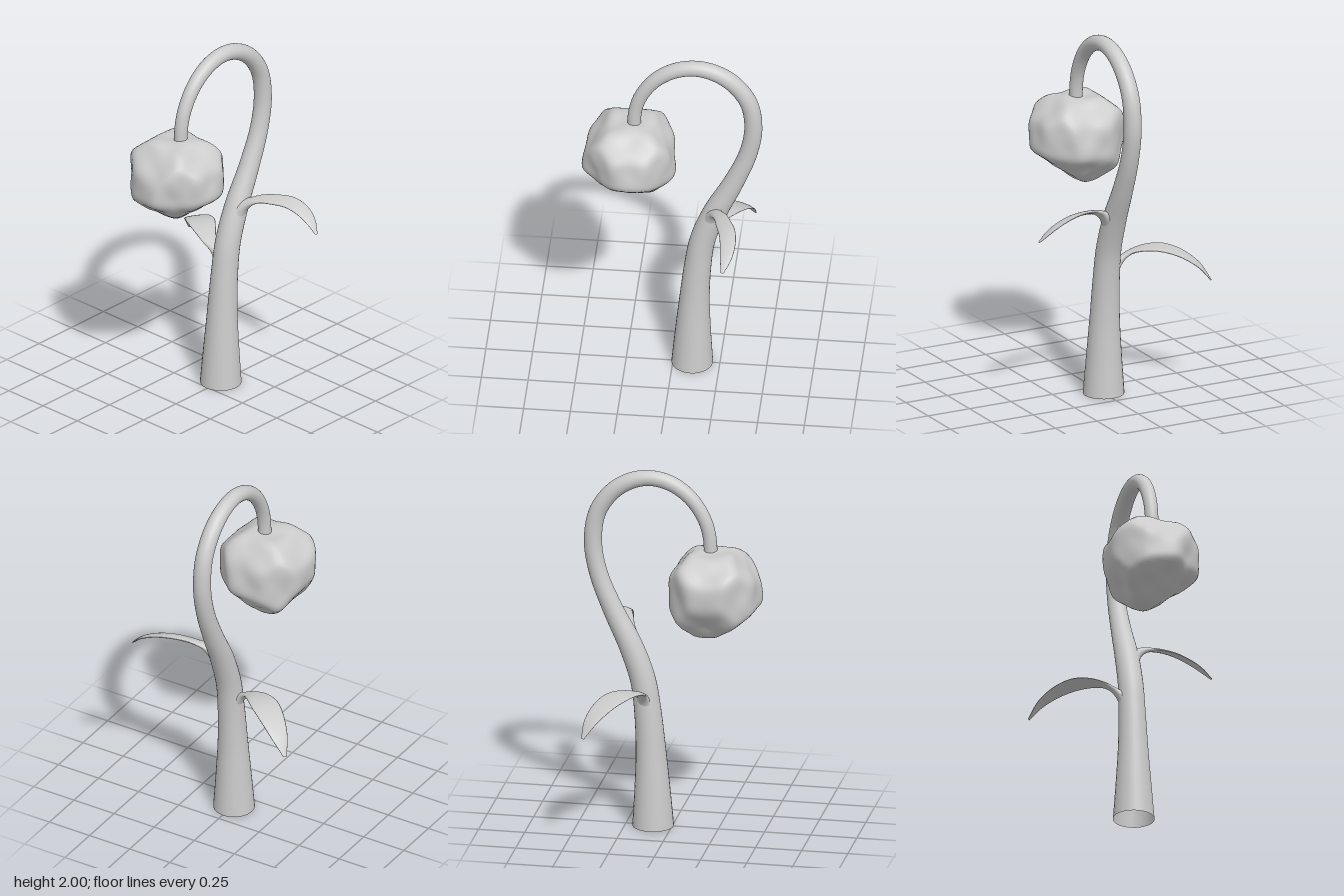
import * as THREE from 'three';
import { mergeVertices } from 'three/addons/utils/BufferGeometryUtils.js';

const V = (a) => new THREE.Vector3(...a);
const curveOf = (pts) => new THREE.CatmullRomCurve3(pts.map(V), false, 'centripetal');

// Sweeps an elliptical section along a path.
// Each row is [x, y, z, half width, half thickness]; side is the width direction.
function sweep(rows, side, steps, sides) {
  const path = curveOf(rows.map((r) => r.slice(0, 3)));
  const size = new THREE.CatmullRomCurve3(rows.map((r, i) => V([r[3], r[4], i * 0.1])), false, 'catmullrom', 0.5);
  const pos = [], idx = [];
  for (let i = 0; i <= steps; i++) {
    const u = i / steps, c = path.getPoint(u), t = path.getTangent(u), d = size.getPoint(u);
    const s = V(side).addScaledVector(t, -V(side).dot(t)).normalize();
    const n = t.clone().cross(s);
    for (let j = 0; j < sides; j++) {
      const a = (j / sides) * Math.PI * 2;
      const p = c.clone().addScaledVector(s, Math.cos(a) * Math.max(d.x, 0.001))
        .addScaledVector(n, Math.sin(a) * Math.max(d.y, 0.001));
      pos.push(p.x, i === 0 && c.y === 0 ? 0 : p.y, p.z);
      if (i === steps) continue;
      const k = (j + 1) % sides, o = i * sides;
      idx.push(o + j, o + k, o + sides + j, o + k, o + sides + k, o + sides + j);
    }
  }
  const g = new THREE.BufferGeometry();
  g.setAttribute('position', new THREE.Float32BufferAttribute(pos, 3));
  g.setIndex(idx);
  g.computeVertexNormals();
  return g;
}

// Rounded boulder: a sphere pressed against soft planes, [nx, ny, nz, distance]
function budGeometry() {
  const planes = [
    [0, 1, 0, 0.238], [0.75, 0.66, 0, 0.25], [1, 0.1, 0, 0.24], [0.75, -0.66, 0, 0.225],
    [0.1, -1, -0.2, 0.245], [-0.6, -0.8, 0, 0.19], [-1, 0.1, -0.1, 0.238], [-0.75, 0.66, 0, 0.235],
    [0.75, 0, -0.66, 0.25], [0.7, 0, 0.7, 0.242], [-0.7, 0, 0.7, 0.22], [-0.7, 0, -0.7, 0.242],
    [0, -0.8, 0.6, 0.178], [0, -0.6, -0.8, 0.22], [0, 0.7, -0.7, 0.26], [0, 0.75, 0.65, 0.24],
    [0, 0.1, 1, 0.238], [0, 0, -1, 0.255], [-0.5, -0.65, 0.5, 0.195], [0.5, -0.65, 0.5, 0.215],
  ].map(([x, y, z, h]) => ({ n: V([x, y, z]).normalize(), h }));
  let g = new THREE.IcosahedronGeometry(1, 14);
  g.deleteAttribute('uv');
  g.deleteAttribute('normal');
  g = mergeVertices(g, 1e-4);
  const p = g.attributes.position, d = new THREE.Vector3();
  for (let i = 0; i < p.count; i++) {
    d.fromBufferAttribute(p, i).normalize();
    let sum = 0;
    for (const { n, h } of planes) sum += Math.pow(Math.max(0, n.dot(d)) / h, 22);
    const lumps = Math.sin(7 * d.x + 1) * Math.sin(6 * d.y + 2) * Math.sin(7 * d.z + 0.5);
    d.multiplyScalar(Math.pow(sum, -1 / 22) * 1.01 + 0.008 * lumps);
    p.setXYZ(i, d.x, d.y, d.z);
  }
  g.computeVertexNormals();
  return g;
}

export function createModel() {
  const group = new THREE.Group();
  const material = new THREE.MeshStandardMaterial({ color: 0xcccccc, side: THREE.DoubleSide });
  const add = (name, geometry) => {
    const m = new THREE.Mesh(geometry, material);
    m.name = name;
    group.add(m);
    return m;
  };

  // Tapering stem, open at the foot, hooked over at the top
  const stem = [
    [0.102, 0, 0.111], [0.106, 0.2, 0.096], [0.114, 0.42, 0.081], [0.132, 0.65, 0.072], [0.158, 0.82, 0.068],
    [0.225, 1.01, 0.064], [0.317, 1.2, 0.055], [0.397, 1.4, 0.049], [0.428, 1.58, 0.048], [0.403, 1.75, 0.047],
    [0.32, 1.872, 0.046], [0.215, 1.939, 0.044], [0.11, 1.958, 0.042], [0, 1.932, 0.041], [-0.1, 1.86, 0.039],
    [-0.172, 1.753, 0.037], [-0.203, 1.65, 0.036], [-0.211, 1.5, 0.036],
  ];
  add('stem', sweep(stem.map(([x, y, r]) => [x, y, -0.004, r, r]), [0, 0, 1], 120, 28));

  // Arching leaves: root branching from inside the stem, thin neck, flat blade, blunt tip
  add('backLeaf', sweep([
    [0.13, 0.62, -0.005, 0.05, 0.05], [0.143, 0.705, -0.04, 0.045, 0.036], [0.145, 0.75, -0.085, 0.03, 0.02],
    [0.155, 0.785, -0.14, 0.042, 0.011], [0.19, 0.808, -0.205, 0.062, 0.008], [0.24, 0.812, -0.28, 0.076, 0.007],
    [0.3, 0.783, -0.365, 0.068, 0.007], [0.355, 0.72, -0.445, 0.045, 0.006], [0.389, 0.64, -0.498, 0.01, 0.003],
  ], [0.85, 0, 0.52], 56, 20));
  add('frontLeaf', sweep([
    [0.185, 0.92, 0, 0.048, 0.048], [0.225, 1.015, 0.035, 0.046, 0.036], [0.242, 1.058, 0.085, 0.033, 0.02],
    [0.264, 1.083, 0.135, 0.035, 0.012], [0.29, 1.098, 0.215, 0.041, 0.009], [0.317, 1.1, 0.295, 0.045, 0.008],
    [0.328, 1.08, 0.37, 0.043, 0.007], [0.324, 1.04, 0.44, 0.032, 0.006], [0.31, 0.985, 0.498, 0.008, 0.003],
  ], [1, 0.3, -0.15], 56, 20));

  // Lumpy closed bud hanging from the hook
  add('bud', budGeometry()).position.set(-0.235, 1.333, -0.003);

  return group;
}
